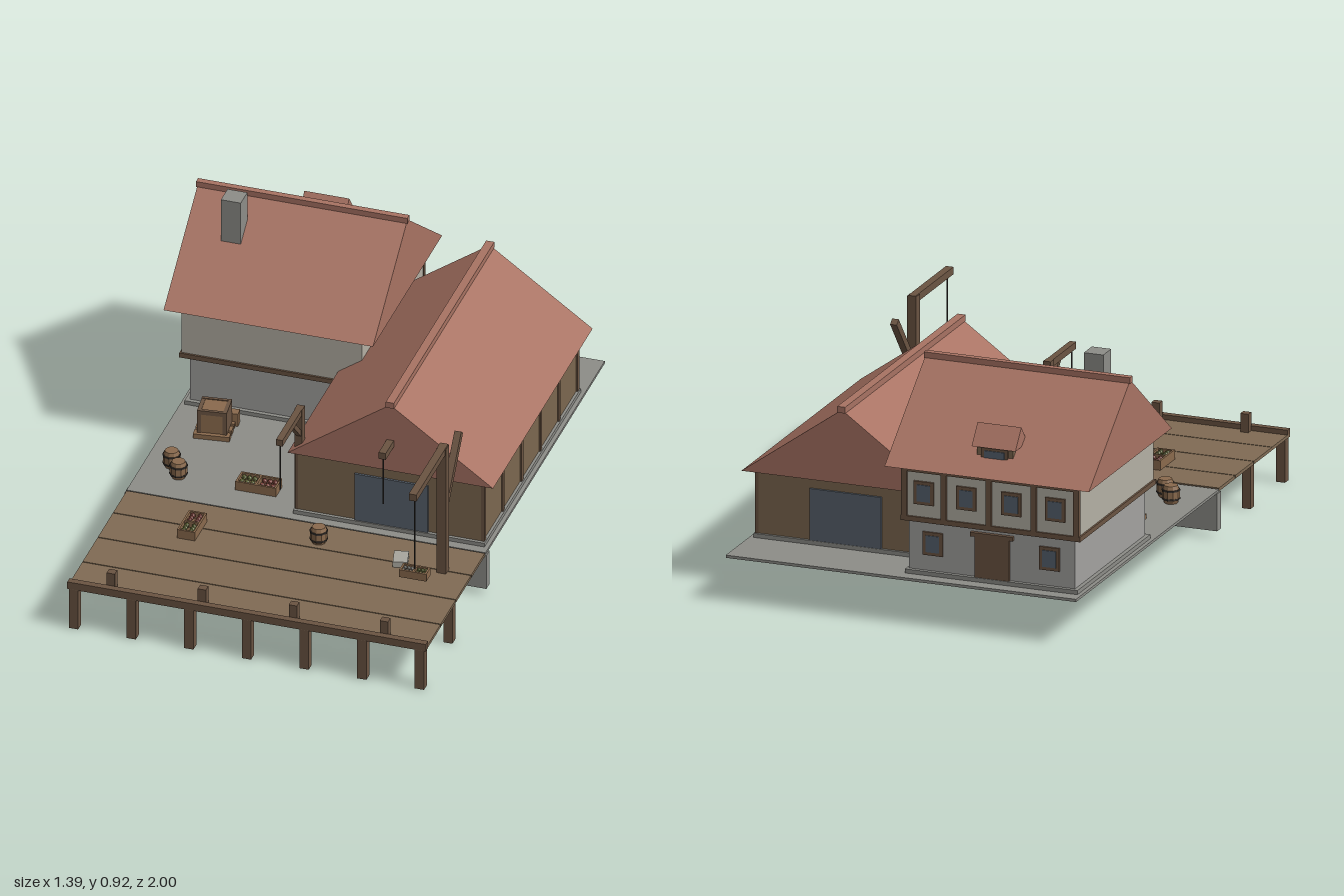
import * as THREE from 'three';

const mat = (color) => new THREE.MeshStandardMaterial({ color, flatShading: true });
const M = {
  roof: mat(0xa87363), timber: mat(0x6b5442), wall: mat(0x7c674f), deck: mat(0x806b54),
  stone: mat(0x8d8d88), plaster: mat(0xb4b0a4), lowWall: mat(0xa3a2a0), door: mat(0x59626d),
  glass: mat(0x56626f), crate: mat(0x8a6a4d), sack: mat(0xa8a69e), green: mat(0x7d8448),
  red: mat(0xa35a50), dark: mat(0x3a3430),
};

function add(parent, name, geometry, material, x = 0, y = 0, z = 0) {
  const mesh = new THREE.Mesh(geometry, material);
  mesh.name = name;
  mesh.position.set(x, y, z);
  parent.add(mesh);
  return mesh;
}

// Box from its limits along each axis
function box(parent, name, m, x0, x1, y0, y1, z0, z1) {
  return add(parent, name, new THREE.BoxGeometry(x1 - x0, y1 - y0, z1 - z0), m,
    (x0 + x1) / 2, (y0 + y1) / 2, (z0 + z1) / 2);
}

// Square bar between two points
function bar(parent, name, m, a, b, w) {
  const p = new THREE.Vector3(...a), q = new THREE.Vector3(...b);
  const mesh = add(parent, name, new THREE.BoxGeometry(w, w, p.distanceTo(q)), m);
  mesh.position.copy(p).lerp(q, 0.5);
  mesh.lookAt(q);
  return mesh;
}

// Closed gable roof, ridge along z; turned a quarter when alongX
function gable(parent, name, m, half, rise, length, alongX, x, y, z) {
  const s = new THREE.Shape([[-half, 0], [half, 0], [0, rise]].map((p) => new THREE.Vector2(...p)));
  const g = new THREE.ExtrudeGeometry(s, { depth: length, bevelEnabled: false });
  g.translate(0, 0, -length / 2);
  if (alongX) g.rotateY(Math.PI / 2);
  return add(parent, name, g, m, x, y, z);
}

function group(parent, name, x = 0, y = 0, z = 0, turn = 0) {
  const g = new THREE.Group();
  g.name = name;
  g.position.set(x, y, z);
  g.rotation.y = turn;
  parent.add(g);
  return g;
}

// Framed window centred on the origin of its group, visible from both faces
function windowAt(parent, x, y, z, turn = 0, w = 0.075, h = 0.085) {
  const g = group(parent, 'window', x, y, z, turn);
  box(g, 'windowFrame', M.timber, -w / 2, w / 2, -h / 2, h / 2, -0.006, 0.006);
  box(g, 'windowPane', M.glass, -w / 2 + 0.012, w / 2 - 0.012, -h / 2 + 0.012, h / 2 - 0.012, -0.009, 0.009);
}

// Open crate with produce in two compartments
function produceCrate(parent, x, y, z, turn, colors, L = 0.15, W = 0.07, H = 0.035) {
  const g = group(parent, 'produceCrate', x, y, z, turn), t = 0.007;
  box(g, 'crateBottom', M.crate, -L / 2, L / 2, 0, t, -W / 2, W / 2);
  for (const s of [-1, 1]) {
    add(g, 'crateSide', new THREE.BoxGeometry(L, H, t), M.crate, 0, H / 2, s * (W - t) / 2);
    add(g, 'crateEnd', new THREE.BoxGeometry(t, H, W), M.crate, s * (L - t) / 2, H / 2, 0);
    for (let i = 0; i < 6; i++)
      add(g, 'produce', new THREE.IcosahedronGeometry(W * 0.15, 0), colors[s < 0 ? 0 : 1],
        s * L / 4 + ((i % 3) - 1) * L * 0.13, H * 0.75, (i < 3 ? -1 : 1) * W * 0.2);
  }
  add(g, 'crateDivider', new THREE.BoxGeometry(t, H, W), M.crate, 0, H / 2, 0);
}

function barrel(parent, x, z) {
  const g = group(parent, 'barrel', x, 0.17, z);
  const profile = [[0, 0], [0.024, 0], [0.031, 0.02], [0.031, 0.045], [0.024, 0.065], [0, 0.065]];
  add(g, 'barrelBody', new THREE.LatheGeometry(profile.map((p) => new THREE.Vector2(...p)), 10), M.crate);
  for (const y of [0.017, 0.048])
    add(g, 'barrelHoop', new THREE.CylinderGeometry(0.0325, 0.0325, 0.006, 10), M.dark, 0, y, 0);
}

function sack(parent, x, z, turn, tilt = 0) {
  const m = add(parent, 'sack', new THREE.BoxGeometry(0.052, 0.022, 0.075, 2, 1, 2), M.sack, x, 0.185, z);
  m.rotation.set(0, turn, tilt);
}

function buildQuay(root) {
  const quay = group(root, 'quay');
  box(quay, 'pavement', M.stone, -0.645, 0.675, 0.16, 0.17, -1, 0.33);
  box(quay, 'quayWall', M.stone, -0.65, 0.68, 0.025, 0.162, 0.3, 0.335);

  const jetty = group(root, 'jetty');
  [0.335, 0.49, 0.66, 0.83, 1].forEach((z, i, a) => {
    if (i) box(jetty, 'deckPlank', M.deck, -0.642, 0.675, 0.16, 0.172, a[i - 1] + 0.002, z - 0.002);
  });
  box(jetty, 'edgeBeam', M.timber, -0.642, 0.677, 0.162, 0.19, 0.975, 1);
  for (let i = 0; i < 7; i++) {
    const x = -0.62 + i * 0.212;
    box(jetty, 'pile', M.timber, x - 0.017, x + 0.017, 0, 0.161, 0.963, 0.997);
    if (i % 2 === 0) box(jetty, 'innerPile', M.timber, x - 0.016, x + 0.016, 0, 0.161, 0.645, 0.677);
  }
  for (const x of [-0.49, -0.155, 0.18, 0.515])
    box(jetty, 'mooringPost', M.timber, x - 0.015, x + 0.015, 0.17, 0.24, 0.948, 0.976);
}

function buildWarehouse(root) {
  const w = group(root, 'warehouse');
  box(w, 'warehousePlinth', M.stone, -0.045, 0.66, 0.165, 0.185, -0.78, 0.295);
  box(w, 'warehouseWalls', M.wall, -0.035, 0.65, 0.17, 0.425, -0.77, 0.283);
  gable(w, 'warehouseRoof', M.roof, 0.378, 0.27, 1.11, false, 0.315, 0.42, -0.255);
  box(w, 'warehouseRidge', M.roof, 0.3, 0.33, 0.68, 0.703, -0.815, 0.305);
  // Thin wall posts on the long sides and corners
  for (let i = 0; i < 6; i++) {
    const z = 0.275 - i * 0.208;
    for (const x of [-0.035, 0.65])
      box(w, 'wallPost', M.timber, x - 0.006, x + 0.006, 0.185, 0.42, z - 0.009, z + 0.009);
  }
  for (const z of [0.283, -0.77])
    box(w, 'slidingDoor', M.door, 0.18, 0.45, 0.185, 0.375, z - 0.008, z + 0.008);
  box(w, 'hoistBeam', M.timber, 0.302, 0.328, 0.52, 0.546, 0.27, 0.39);
  box(w, 'hoistRope', M.dark, 0.313, 0.317, 0.33, 0.52, 0.376, 0.38);
}

function buildHouse(root) {
  const h = group(root, 'house');
  box(h, 'housePlinth', M.stone, -0.63, 0.02, 0.165, 0.185, -0.95, -0.27);
  box(h, 'lowerWalls', M.lowWall, -0.615, 0.01, 0.17, 0.37, -0.935, -0.285);
  box(h, 'floorBand', M.timber, -0.645, 0.032, 0.368, 0.386, -0.963, -0.257);
  box(h, 'upperWalls', M.plaster, -0.638, 0.025, 0.38, 0.575, -0.956, -0.264);
  gable(h, 'houseRoof', M.roof, 0.386, 0.295, 0.77, true, -0.308, 0.57, -0.614);
  box(h, 'houseRidge', M.roof, -0.697, 0.08, 0.855, 0.877, -0.626, -0.602);
  box(h, 'chimney', M.stone, -0.558, -0.485, 0.72, 0.915, -0.532, -0.458);
  // Timber frame and openings of the back
  for (const x of [0.018, -0.13, -0.3, -0.47, -0.63])
    box(h, 'framePost', M.timber, x - 0.01, x + 0.01, 0.38, 0.57, -0.965, -0.945);
  box(h, 'frameTopRail', M.timber, -0.64, 0.028, 0.55, 0.57, -0.964, -0.945);
  for (const x of [-0.055, -0.215, -0.385, -0.55]) windowAt(h, x, 0.475, -0.957);
  for (const x of [-0.08, -0.52]) windowAt(h, x, 0.285, -0.936);
  box(h, 'backDoor', M.timber, -0.37, -0.24, 0.18, 0.335, -0.947, -0.93);
  box(h, 'doorLintel', M.timber, -0.385, -0.225, 0.335, 0.35, -0.95, -0.93);
  for (const z of [-0.48, -0.74]) windowAt(h, 0.026, 0.5, z, Math.PI / 2);
  // Dormer on the back slope
  const d = group(h, 'dormer', -0.308, 0, 0);
  box(d, 'dormerBody', M.wall, -0.068, 0.068, 0.6, 0.672, -0.922, -0.845);
  gable(d, 'dormerRoof', M.roof, 0.056, 0.072, 0.165, true, 0, 0.662, -0.88);
  windowAt(d, 0, 0.637, -0.923, 0, 0.1, 0.05);
}

function buildCranes(root) {
  const c = group(root, 'jettyCrane');
  box(c, 'cranePost', M.timber, 0.555, 0.589, 0.17, 0.685, 0.475, 0.51);
  box(c, 'craneArm', M.timber, 0.558, 0.586, 0.66, 0.687, 0.475, 0.83);
  bar(c, 'craneBrace', M.timber, [0.572, 0.425, 0.485], [0.572, 0.64, 0.315], 0.025);
  box(c, 'craneRope', M.dark, 0.57, 0.574, 0.36, 0.662, 0.803, 0.807);
  produceCrate(c, 0.572, 0.337, 0.805, 0, [M.sack, M.green], 0.1, 0.048, 0.03);

  const s = group(root, 'wallCrane');
  box(s, 'wallCranePost', M.timber, -0.045, -0.017, 0.17, 0.59, 0.245, 0.275);
  box(s, 'wallCraneArm', M.timber, -0.043, -0.019, 0.565, 0.59, 0.245, 0.488);
  bar(s, 'wallCraneBrace', M.timber, [-0.031, 0.48, 0.262], [-0.031, 0.57, 0.35], 0.018);
  box(s, 'wallCraneRope', M.dark, -0.033, -0.029, 0.38, 0.567, 0.476, 0.48);
}

function buildCargo(root) {
  const g = group(root, 'cargo');
  barrel(g, -0.545, 0.13);
  barrel(g, -0.5, 0.19);
  barrel(g, 0.1, 0.445);
  produceCrate(g, -0.21, 0.17, 0.175, 0, [M.green, M.red]);
  produceCrate(g, -0.345, 0.172, 0.51, Math.PI / 2, [M.green, M.red], 0.135, 0.066);
  sack(g, -0.09, -0.125, 0.35);
  sack(g, -0.105, -0.05, -0.15, 0.15);
  sack(g, 0.415, 0.485, 0.25);
  // Stacked crates on a pallet
  const p = group(g, 'crateStack', -0.475, 0.17, -0.135, 0.12);
  for (const z of [-0.045, 0, 0.045])
    box(p, 'palletSlat', M.crate, -0.065, 0.065, 0, 0.018, z - 0.016, z + 0.016);
  box(p, 'largeCrate', M.crate, -0.05, 0.05, 0.018, 0.105, -0.045, 0.045);
  for (const s of [-1, 1]) {
    box(p, 'crateRail', M.timber, -0.053, 0.053, 0.092, 0.108, s * 0.042 - 0.006, s * 0.042 + 0.006);
    box(p, 'crateBatten', M.timber, s * 0.046 - 0.007, s * 0.046 + 0.007, 0.018, 0.107, -0.048, 0.048);
  }
  box(p, 'smallCrate', M.crate, 0.035, 0.075, 0, 0.05, -0.08, -0.046);
}

export function createModel() {
  const root = new THREE.Group();
  root.name = 'harbourWarehouse';
  buildQuay(root);
  buildWarehouse(root);
  buildHouse(root);
  buildCranes(root);
  buildCargo(root);
  return root;
}
